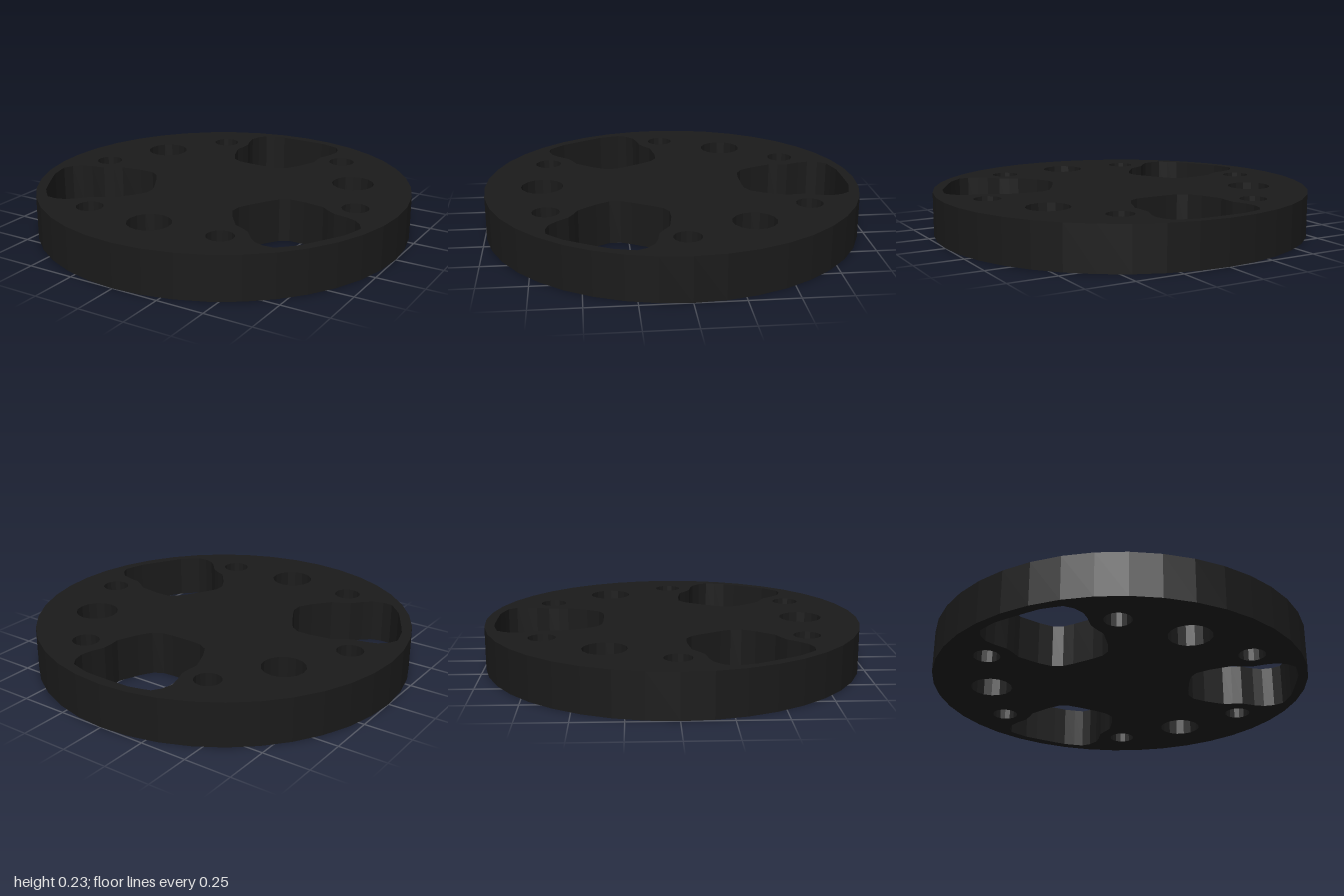
import * as THREE from 'three';

const HEIGHT = 0.23;

// Regular polygon outline as a list of points
function ring(cx, cy, radius, sides) {
  return Array.from({ length: sides }, (_, i) => {
    const a = (i / sides) * Math.PI * 2;
    return new THREE.Vector2(cx + radius * Math.cos(a), cy + radius * Math.sin(a));
  });
}

// Right half of one waisted cut-out, from its outer end to its inner end
const HALF_CUTOUT = [
  [0.06, 0.942], [0.13, 0.94], [0.19, 0.925], [0.24, 0.91], [0.27, 0.866], [0.283, 0.81],
  [0.272, 0.755], [0.246, 0.685], [0.247, 0.63], [0.253, 0.58], [0.21, 0.47], [0.17, 0.402],
  [0.12, 0.375], [0.06, 0.37],
];

// Full mirrored cut-out, turned about the disc centre
function cutout(angle) {
  const mirrored = HALF_CUTOUT.map(([x, y]) => [-x, y]).reverse();
  return [...HALF_CUTOUT, ...mirrored].map(([x, y]) =>
    new THREE.Vector2(x, y).rotateAround(new THREE.Vector2(), angle));
}

export function createModel() {
  const group = new THREE.Group();
  group.name = 'perforatedDisc';

  const outline = new THREE.Shape(ring(0, 0, 1, 40));
  const addHole = (points) => outline.holes.push(new THREE.Path(points));
  const addRoundHole = (angle, distance, radius, sides) =>
    addHole(ring(distance * Math.cos(angle), distance * Math.sin(angle), radius, sides));

  // Three large cut-outs with a round hole between each pair
  for (let i = 0; i < 3; i++) {
    const turn = (i * Math.PI * 2) / 3;
    addHole(cutout(turn));
    addRoundHole(turn + Math.PI / 6, 0.695, 0.112, 16);
  }
  // Six small bolt holes
  for (let i = 0; i < 6; i++) addRoundHole((i * Math.PI) / 3, 0.772, 0.07, 16);

  const geometry = new THREE.ExtrudeGeometry(outline, { depth: HEIGHT, bevelEnabled: false });
  geometry.rotateX(-Math.PI / 2);

  const disc = new THREE.Mesh(geometry, new THREE.MeshStandardMaterial({ color: 0x1a1a1a }));
  disc.name = 'disc';
  group.add(disc);
  return group;
}
